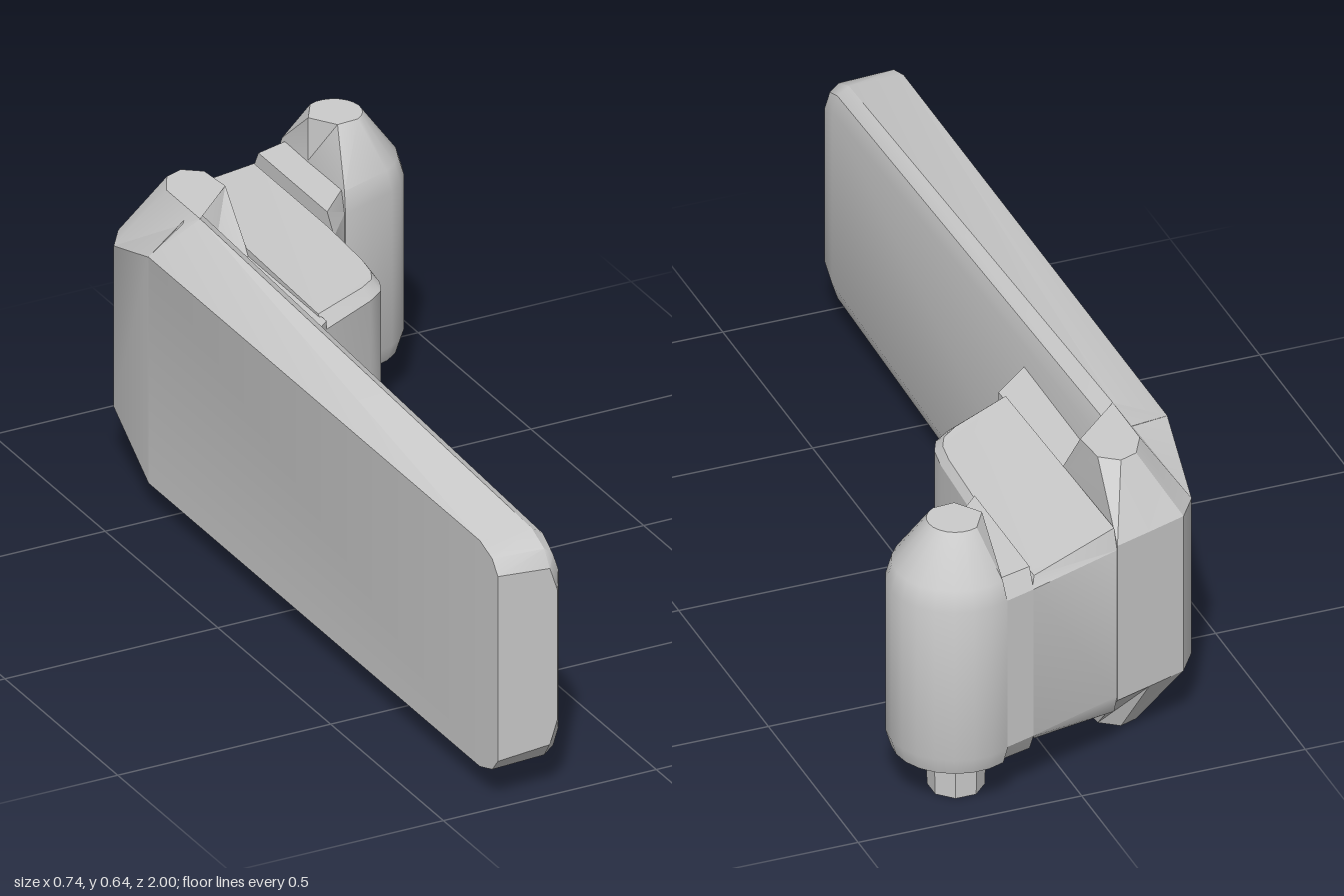
import * as THREE from 'three';
import { toCreasedNormals } from 'three/addons/utils/BufferGeometryUtils.js';

const H = 0.645; // overall height; most parts mirror about H / 2
const material = new THREE.MeshStandardMaterial({ color: 0xcccccc });

// Closed skin over equal-length convex rings of [x, y, z], capped at both ends
function loft(name, rings, crease = 0.5) {
  const n = rings[0].length;
  const pts = rings.flat();
  const index = [];
  for (let r = 0; r < rings.length - 1; r++) {
    for (let i = 0; i < n; i++) {
      const a = r * n + i, b = r * n + (i + 1) % n;
      index.push(a, b, b + n, a, b + n, a + n);
    }
  }
  const last = (rings.length - 1) * n;
  for (let i = 1; i < n - 1; i++) {
    index.push(0, i + 1, i, last, last + i, last + i + 1);
  }
  // Turn the faces outwards when the signed volume is negative
  let volume = 0;
  const v = pts.map((p) => new THREE.Vector3(...p));
  for (let i = 0; i < index.length; i += 3) {
    volume += v[index[i]].dot(v[index[i + 1]].clone().cross(v[index[i + 2]]));
  }
  if (volume < 0) index.reverse();
  const g = new THREE.BufferGeometry();
  g.setAttribute('position', new THREE.Float32BufferAttribute(pts.flat(), 3));
  g.setIndex(index);
  const mesh = new THREE.Mesh(toCreasedNormals(g, crease), material);
  mesh.name = name;
  return mesh;
}

const flip = (ring) => ring.map(([x, y, z]) => [x, H - y, z]);
const mirrored = (rings) => [...rings, ...[...rings].reverse().map(flip)];

// Outline [x, z] at a height, shrunk towards a centre
function level(outline, y, scale = 1, cx = 0, cz = 0) {
  return outline.map(([x, z]) => [cx + (x - cx) * scale, y, cz + (z - cz) * scale]);
}

// Long blade: the inner edge rises towards the back, the outer edge stays level
function paddle() {
  const section = (z, outer, inner, xIn, skew = 0) => {
    const half = [
      [-0.372, outer, z], [-0.25, inner, z],
      [xIn - 0.012, inner - 0.018, z - skew], [xIn, inner - 0.055, z - skew],
    ];
    const lift = ([x, h, zz]) => [x, H / 2 + h, zz];
    const top = half.map(lift);
    return [...top, ...flip(top).reverse()];
  };
  return loft('paddle', [
    section(1, 0.215, 0.205, -0.232),
    section(0.975, 0.245, 0.24, -0.217),
    section(0.92, 0.263, 0.263, -0.212),
    section(-0.55, 0.263, H / 2, -0.208, 0.08),
  ]);
}

// Bend behind the paddle, tapering to a small flat at top and bottom
function knuckle() {
  const body = [
    [-0.372, 0.585, -0.55], [-0.342, 0.51, -0.76], [-0.3, 0.51, -0.82],
    [-0.21, 0.51, -0.852], [-0.128, 0.51, -0.88], [-0.125, 0.52, -0.57],
    [-0.21, 0.52, -0.57],
  ];
  const flat = [
    [-0.25, -0.55], [-0.25, -0.7], [-0.22, -0.755], [-0.18, -0.77],
    [-0.14, -0.74], [-0.133, -0.66], [-0.208, -0.62],
  ];
  return loft('knuckle', mirrored([level(flat, H), body]));
}

// Thin web joining the bracket to the paddle
function web() {
  const outline = [[-0.23, -0.15], [-0.21, -0.157], [-0.122, -0.232], [-0.122, -0.6], [-0.23, -0.6]];
  return loft('bracketWeb', mirrored([level(outline, 0.52)]), 0.2);
}

// Main block of the bracket, its top falling slightly towards the pivot
function bracket() {
  const outline = [
    [-0.127, -0.23], [0.02, -0.305], [0.06, -0.335], [0.077, -0.37],
    [0.086, -0.43], [0.095, -0.61], [0.095, -0.962], [-0.127, -0.88],
  ];
  const tops = [0.525, 0.522, 0.52, 0.52, 0.52, 0.52, 0.52, 0.545];
  const crown = level(outline, 0, 0.93, -0.08, -0.65).map(([x, , z], i) => [x, tops[i], z]);
  crown[0][0] = crown[7][0] = -0.127;
  return loft('bracket', mirrored([crown, level(outline, 0.5)]));
}

// Short neck between bracket and pivot barrel
function neck() {
  const outline = [[0.092, -0.602], [0.165, -0.69], [0.165, -0.985], [0.092, -0.961]];
  const crown = level(outline, 0.543, 0.85, 0.13, -0.81).map(([, y, z], i) => [outline[i][0], y, z]);
  return loft('neck', mirrored([crown, level(outline, 0.5)]), 0.3);
}

// Pivot barrel: rounded at the back, coned to a small flat on top
function barrel() {
  const cx = 0.225, cz = -0.855, R = 0.146;
  const outline = [[0.158, -0.855], [0.16, -0.985]];
  for (let i = 0; i <= 10; i++) {
    const a = THREE.MathUtils.degToRad(-100 + 16.2 * i);
    outline.push([cx + R * Math.cos(a), cz + R * Math.sin(a)]);
  }
  outline.push([0.16, -0.68]);
  const tip = outline.map(([x, z]) => {
    const k = 0.06 / Math.hypot(x - cx, z - cz);
    return [cx + (x - cx) * k, H, cz + (z - cz) * k];
  });
  return loft('pivotBarrel', [
    tip,
    level(outline, 0.545, 0.91, cx, cz),
    level(outline, 0.5),
    level(outline, 0.142),
    level(outline, 0.104, 0.92, cx, cz),
  ]);
}

// Small faceted pin under the barrel
function pin() {
  const g = new THREE.CylinderGeometry(0.064, 0.06, 0.12, 8);
  const mesh = new THREE.Mesh(toCreasedNormals(g, 0.5), material);
  mesh.name = 'pivotPin';
  mesh.rotation.y = Math.PI / 8;
  mesh.position.set(0.224, 0.06, -0.857);
  return mesh;
}

export function createModel() {
  const group = new THREE.Group();
  group.name = 'hingedLever';
  group.add(paddle(), knuckle(), web(), bracket(), neck(), barrel(), pin());
  return group;
}
